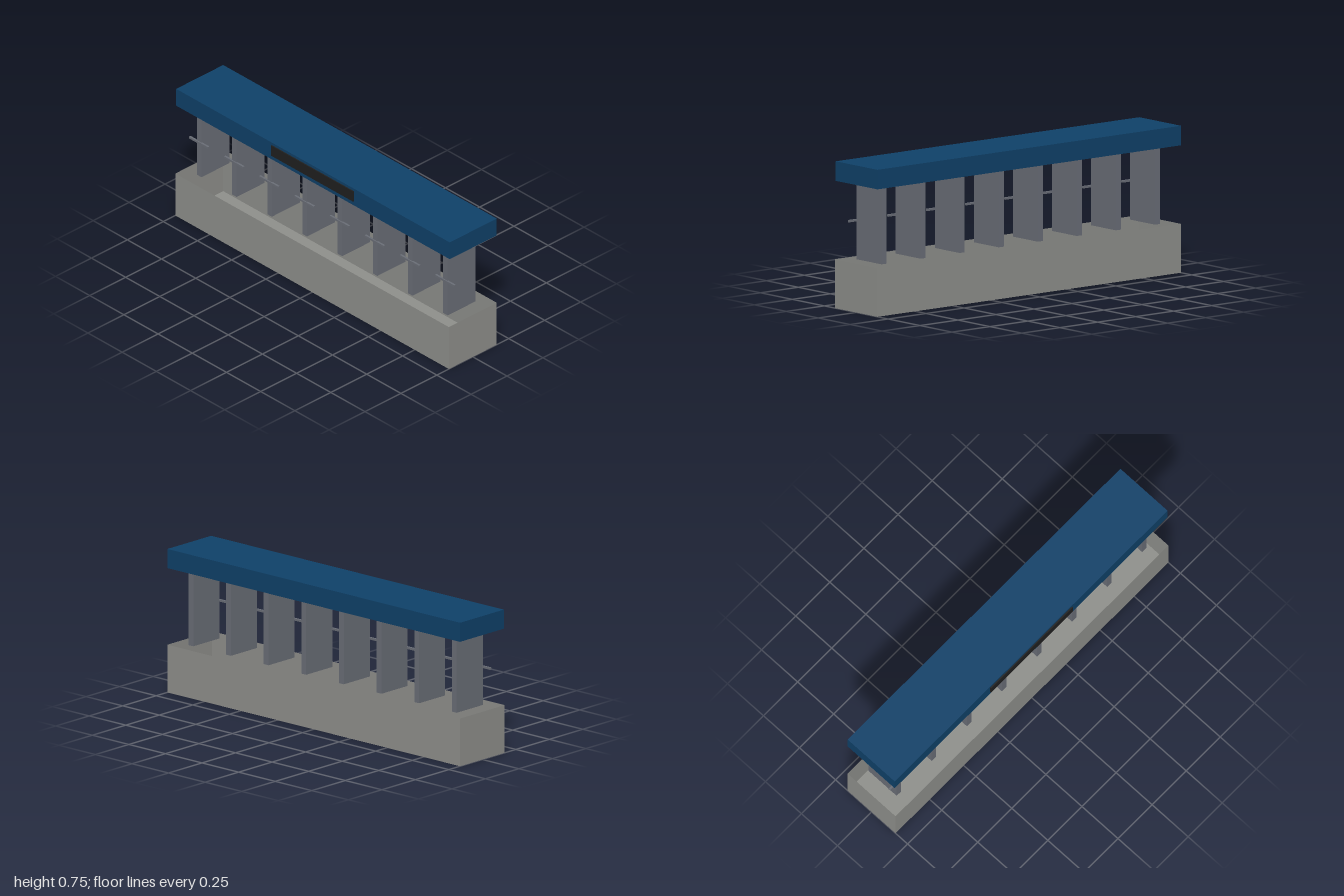
import * as THREE from 'three';

const mat = (name, color) => {
  const m = new THREE.MeshStandardMaterial({ color });
  m.name = name;
  return m;
};

export function createModel() {
  const stone = mat('stone grey', 0x8f908c);
  const steel = mat('steel grey', 0x6a6e77);
  const blue = mat('deep blue', 0x0f4169);
  const black = mat('panel black', 0x202020);
  stone.side = THREE.DoubleSide;

  const model = new THREE.Group();
  model.name = 'gateRow';

  // Box given by its extents along each axis
  const box = (name, material, [x0, x1], [y0, y1], [z0, z1]) => {
    const mesh = new THREE.Mesh(new THREE.BoxGeometry(x1 - x0, y1 - y0, z1 - z0), material);
    mesh.position.set((x0 + x1) / 2, (y0 + y1) / 2, (z0 + z1) / 2);
    mesh.name = name;
    model.add(mesh);
    return mesh;
  };

  // Trough base: a box with its top face (third of six) left out
  const base = box('base', stone, [-1, 1], [0, 0.25], [-0.1667, 0.1667]);
  const index = Array.from(base.geometry.index.array);
  index.splice(12, 6);
  base.geometry.setIndex(index);
  base.geometry.clearGroups();

  // Eight upright fins, each with a thin crossbar on its front edge
  const count = 8;
  for (let i = 0; i < count; i++) {
    const x = -0.9 + (1.8 * i) / (count - 1);
    box('fin', steel, [x - 0.0165, x + 0.0165], [0.25, 0.652], [-0.1, 0.095]);
    box('crossbar', steel, [x - 0.07, x + 0.07], [0.445, 0.456], [0.09, 0.101]);
  }

  // Roof beam and the sign panel on its front
  box('roofBeam', blue, [-1, 1], [0.652, 0.752], [-0.1667, 0.1605]);
  box('signPanel', black, [-0.3, 0.3], [0.677, 0.737], [0.1605, 0.1667]);

  return model;
}
